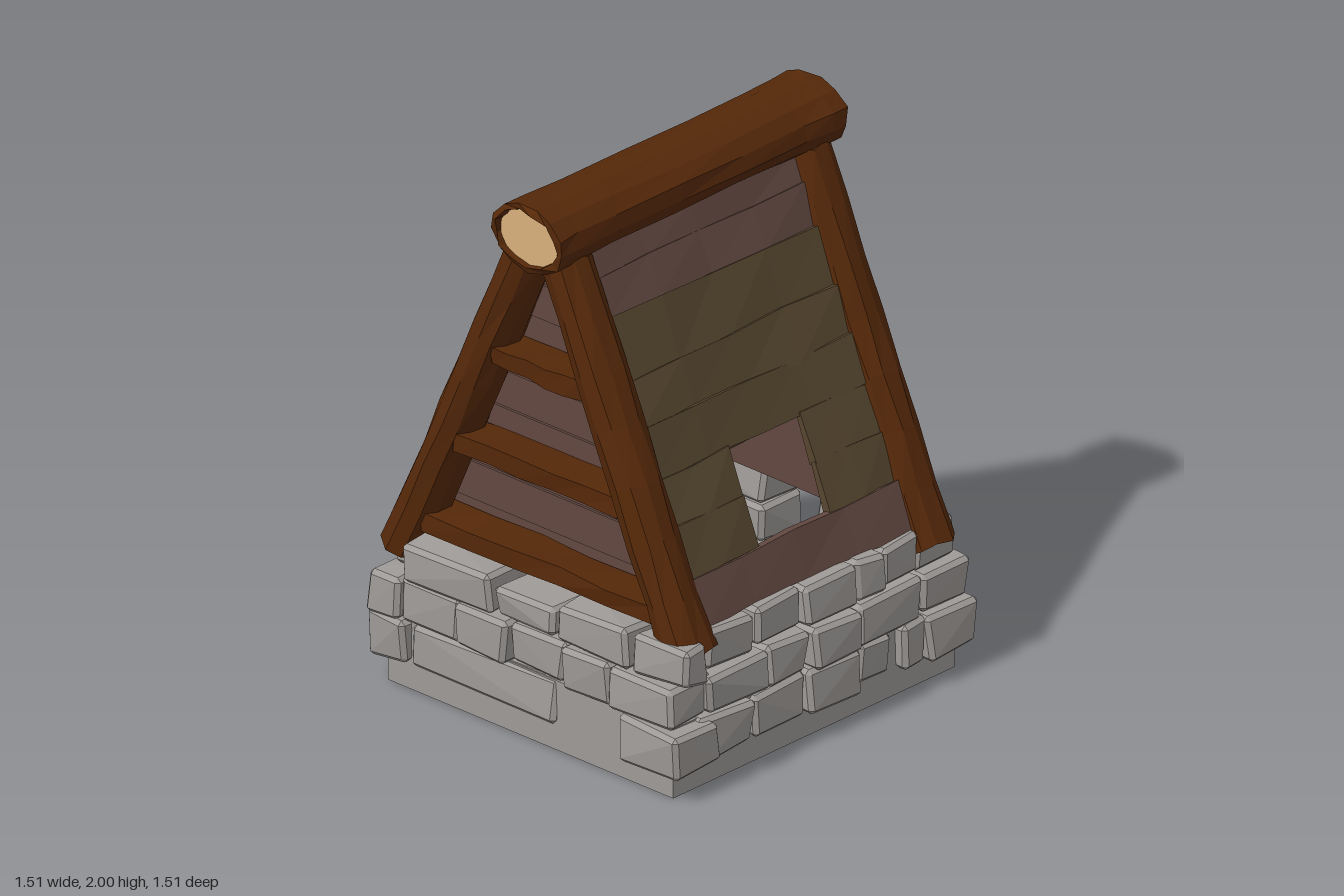
import * as THREE from 'three';
import { ConvexGeometry } from 'three/addons/geometries/ConvexGeometry.js';

const mat = (color, side = THREE.FrontSide) =>
  new THREE.MeshStandardMaterial({ color, side, flatShading: true });
const STONE = mat(0x9e9a97), BARK = mat(0x552809, THREE.DoubleSide), CUT = mat(0xd8b07c);
const OLIVE = mat(0x56462f), RED = mat(0x624840);

// Repeatable noise in -1..1 from a position
const noise = (x, y, z, k) => {
  const s = Math.sin(Math.round(x * 500) * 1.37 + Math.round(y * 500) * 2.71 + Math.round(z * 500) * 4.13 + k * 7.9) * 43758.5453;
  return (s - Math.floor(s)) * 2 - 1;
};
let seed = 1;

// Shift each vertex a little; coincident vertices move together
function roughen(geo, ax, ay, az) {
  const p = geo.attributes.position, k = seed++;
  for (let i = 0; i < p.count; i++) {
    const x = p.getX(i), y = p.getY(i), z = p.getZ(i);
    p.setXYZ(i, x + ax * noise(x, y, z, k), y + ay * noise(x, y, z, k + 0.3), z + az * noise(x, y, z, k + 0.6));
  }
  geo.computeVertexNormals();
  return geo;
}

function add(group, name, geo, material) {
  const m = new THREE.Mesh(geo, material);
  m.name = name;
  group.add(m);
  return m;
}

// Irregular block with chamfered corners
function stone(group, x0, x1, y0, y1, z0, z1) {
  const pts = [], c = 0.016, k = seed++;
  for (const x of [x0, x1]) for (const y of [y0, y1]) for (const z of [z0, z1]) {
    const q = new THREE.Vector3(
      x + 0.01 * noise(x, y, z, k), y + 0.01 * noise(x, y, z, k + 0.3), z + 0.01 * noise(x, y, z, k + 0.6));
    const dx = x === x0 ? c : -c, dy = y === y0 ? c : -c, dz = z === z0 ? c : -c;
    pts.push(new THREE.Vector3(q.x, q.y + dy, q.z + dz), new THREE.Vector3(q.x + dx, q.y, q.z + dz),
      new THREE.Vector3(q.x + dx, q.y + dy, q.z));
  }
  add(group, 'stone', new ConvexGeometry(pts), STONE);
}

// Half width of the roof at height y, and its lean
const LEAN = 0.443, ANGLE = Math.atan(LEAN);
const half = (y) => 0.62 - LEAN * (y - 0.55);

function buildFoundation() {
  const g = new THREE.Group();
  g.name = 'stoneFoundation';
  const slab = add(g, 'baseSlab', new THREE.BoxGeometry(1.32, 0.26, 1.38), STONE);
  slab.position.set(0.02, 0.13, 0);
  const rows = [[0.1, 0.26], [0.265, 0.415], [0.42, 0.565]];
  // Stone spans along each wall from the bottom row up, each with its outer face
  const front = [
    [[-0.7, -0.53, 0.73], [-0.52, 0.15, 0.7], [0.47, 0.74, 0.74]],
    [[-0.7, -0.56, 0.74], [-0.56, -0.29, 0.72], [-0.29, -0.06, 0.74], [-0.06, 0.19, 0.71], [0.19, 0.4, 0.72], [0.4, 0.69, 0.72]],
    [[-0.65, -0.55, 0.64], [-0.54, -0.14, 0.73], [-0.13, 0.14, 0.7], [0.16, 0.48, 0.72], [0.49, 0.74, 0.7]]];
  const back = [
    [[-0.69, -0.4, 0.74], [-0.39, -0.05, 0.73], [0.22, 0.46, 0.73], [0.47, 0.74, 0.74]],
    [[-0.69, -0.5, 0.73], [-0.49, -0.05, 0.72], [0.2, 0.42, 0.72], [0.43, 0.7, 0.74]],
    [[-0.66, -0.45, 0.73], [-0.44, -0.04, 0.75], [0.2, 0.56, 0.73], [0.57, 0.67, 0.7]]];
  const right = [
    [[0.33, 0.58, 0.72], [0.07, 0.31, 0.71], [-0.19, 0.06, 0.73], [-0.37, -0.2, 0.7], [-0.52, -0.4, 0.72]],
    [[0.25, 0.55, 0.72], [0.05, 0.25, 0.71], [-0.19, 0.04, 0.73], [-0.5, -0.19, 0.72]],
    [[0.3, 0.52, 0.69], [0.07, 0.29, 0.69], [-0.19, 0.06, 0.71], [-0.33, -0.2, 0.7], [-0.51, -0.34, 0.69]]];
  const left = [
    [[0.3, 0.55, 0.69], [0.02, 0.28, 0.7], [-0.25, 0, 0.69], [-0.5, -0.26, 0.69]],
    [[0.36, 0.55, 0.68], [0.1, 0.35, 0.69], [-0.2, 0.08, 0.69], [-0.5, -0.21, 0.69]],
    [[0.22, 0.54, 0.68], [0, 0.21, 0.68], [-0.21, -0.01, 0.69], [-0.57, -0.22, 0.75]]];
  rows.forEach(([y0, y1], r) => {
    front[r].forEach(([a, b, out], i) =>
      stone(g, a, b, y0, r === 2 && i === 2 ? y1 - 0.03 : y1, r === 2 && i === 4 ? 0.57 : 0.52, out));
    back[r].forEach(([a, b, out]) => stone(g, a, b, y0, y1, -out, -0.51));
    right[r].forEach(([a, b, out]) => stone(g, 0.48, out, y0, y1, a, b));
    left[r].forEach(([a, b, out]) => stone(g, -out, -0.48, y0, y1, a, b));
  });
  return g;
}

// Leaning corner log with a flared foot
function cornerLog(group, sx, sz) {
  const h = 1.42, geo = new THREE.CylinderGeometry(0.083, 0.086, h, 10, 7);
  const p = geo.attributes.position;
  for (let i = 0; i < p.count; i++) {
    const flare = p.getY(i) < -h / 2 + 0.01 ? 1.08 : 1;
    p.setX(i, p.getX(i) * flare);
    p.setZ(i, p.getZ(i) * flare * 1.17);
  }
  roughen(geo, 0.005, 0.012, 0.005);
  const m = add(group, 'cornerLog', geo, BARK);
  const y = 0.485 + (h / 2) * Math.cos(ANGLE);
  m.position.set(sx * half(y), y, sz > 0 ? 0.575 : -0.592);
  m.rotation.z = sx * ANGLE;
}

// Ridge log: bark shell with a lip and recessed cut ends
function buildRidge() {
  const g = new THREE.Group();
  g.name = 'ridge';
  const profile = [[0.128, -0.66], [0.134, -0.7], [0.165, -0.7], [0.167, -0.64], [0.158, -0.5], [0.155, -0.2],
    [0.158, 0.1], [0.155, 0.4], [0.16, 0.6], [0.166, 0.69], [0.136, 0.7], [0.128, 0.66]]
    .map(([r, y]) => new THREE.Vector2(r, y));
  const shell = new THREE.LatheGeometry(profile, 13);
  shell.rotateX(Math.PI / 2);
  shell.scale(1.03, 0.76, 1);
  roughen(shell, 0.005, 0.005, 0.012);
  add(g, 'ridgeBark', shell, BARK);
  for (const s of [-1, 1]) {
    const cut = new THREE.CircleGeometry(0.136, 13);
    cut.scale(1, 0.76, 1);
    const m = add(g, 'ridgeCutEnd', cut, CUT);
    m.position.z = s * 0.68;
    if (s < 0) m.rotation.y = Math.PI;
  }
  g.position.set(0.005, 1.872, 0);
  return g;
}

// Roof board on one slope, between two heights and two depths
function roofBoard(group, s, y0, y1, z0, z1, material) {
  const y = (y0 + y1) / 2;
  const geo = new THREE.BoxGeometry(0.035, (y1 - y0) / Math.cos(ANGLE) + 0.012, z1 - z0, 1, 1, z1 - z0 > 0.5 ? 4 : 2);
  const m = add(group, 'roofBoard', roughen(geo, 0.008, 0.011, 0.004), material);
  m.position.set(s * half(y) + (s > 0 ? 0.022 : -0.004), y, (z0 + z1) / 2);
  m.rotation.z = s * (ANGLE - 0.04);
}

function buildRoof() {
  const g = new THREE.Group();
  g.name = 'roof';
  const ys = [0.56, 0.715, 0.88, 1.04, 1.2, 1.36, 1.56, 1.69, 1.79, 1.86];
  for (const s of [-1, 1]) for (let i = 0; i < ys.length - 1; i++) {
    const material = i === 0 || i > 5 ? RED : OLIVE;
    // Window opening on the left slope
    const spans = s > 0 && (i === 1 || i === 2) ? [[-0.51, -0.19], [0.16, 0.51]] : [[-0.51, 0.51]];
    for (const [a, b] of spans) roofBoard(g, s, ys[i], ys[i + 1], a, b, material);
  }
  return g;
}

// Triangular end wall of tapering boards with projecting crossbeams
function buildGable(sz) {
  const g = new THREE.Group();
  g.name = sz > 0 ? 'frontGable' : 'backGable';
  const ys = [0.57, 0.69, 0.83, 1.0, 1.08, 1.22, 1.31, 1.47, 1.6, 1.7, 1.84];
  for (let i = 0; i < ys.length - 1; i++) {
    const a = ys[i], b = ys[i + 1], t = i % 2 ? 0.01 : 0;
    const shape = new THREE.Shape([[-half(a), a], [half(a), a], [half(b), b], [-half(b), b]]
      .map(([x, y]) => new THREE.Vector2(x, y)));
    const m = add(g, 'gableBoard', new THREE.ExtrudeGeometry(shape, { depth: 0.025 + t, bevelEnabled: false }), RED);
    m.position.z = sz > 0 ? 0.475 : -0.5 - t;
  }
  for (const y of [0.62, 0.97, 1.35]) {
    const geo = new THREE.BoxGeometry(2 * half(y) - 0.11, 0.068, 0.14, 5, 1, 1);
    const m = add(g, 'crossbeam', roughen(geo, 0.004, 0.006, 0.006), BARK);
    m.position.set(0.005, y, sz * 0.578);
  }
  return g;
}

export function createModel() {
  const model = new THREE.Group();
  model.name = 'timberHut';
  model.add(buildFoundation(), buildRoof(), buildGable(1), buildGable(-1), buildRidge());
  for (const sx of [-1, 1]) for (const sz of [-1, 1]) cornerLog(model, sx, sz);
  return model;
}
